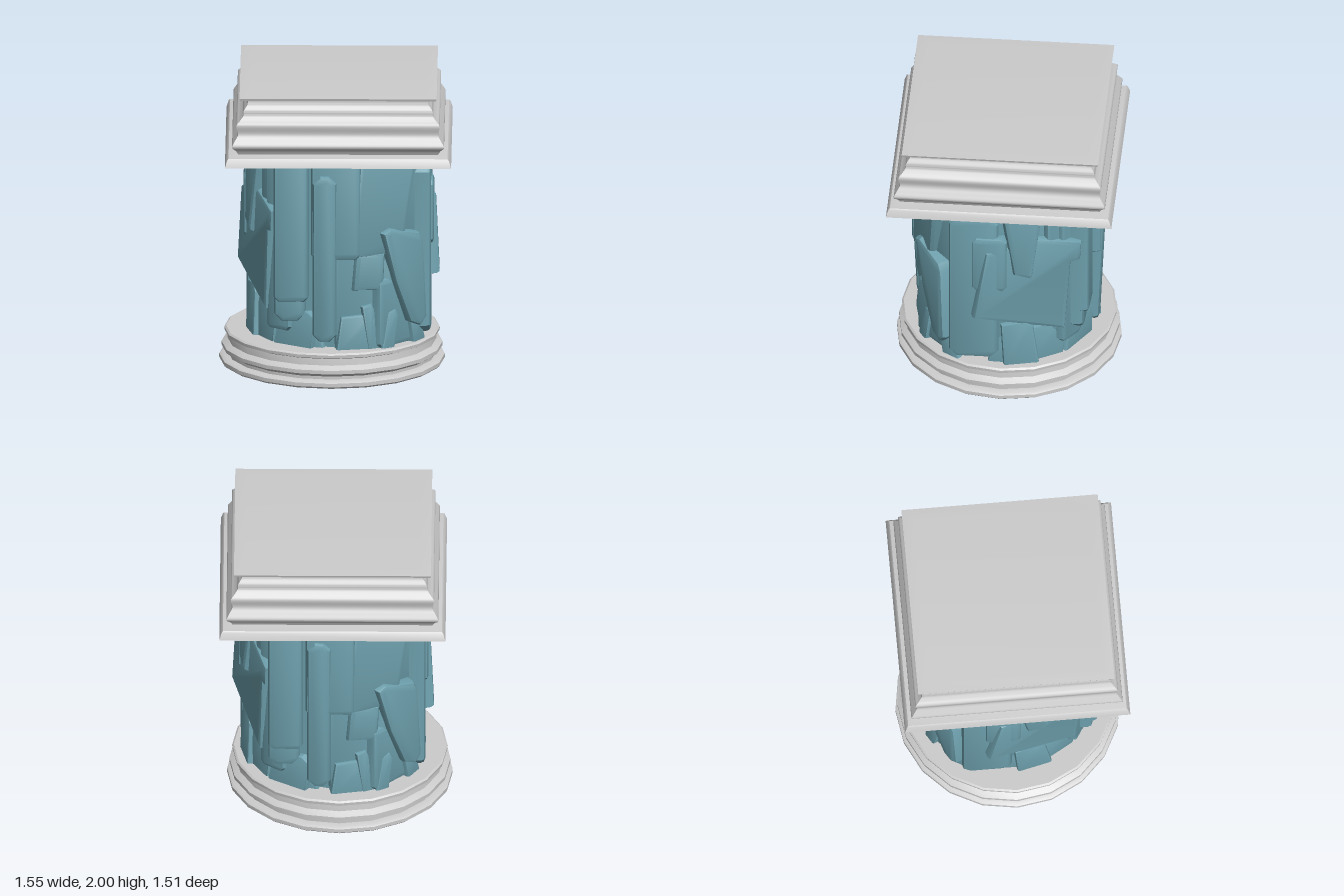
import * as THREE from 'three';
import { toCreasedNormals } from 'three/addons/utils/BufferGeometryUtils.js';

const grey = new THREE.MeshStandardMaterial({ color: 0xcccccc });
const teal = new THREE.MeshStandardMaterial({ color: 0x6c9eab });

const toVectors = (pts) => pts.map(([x, y]) => new THREE.Vector2(x, y));

// Moulding turned from a bottom-to-top profile
function turned(name, profile, sides, start, crease) {
  const geo = new THREE.LatheGeometry(profile, sides, start);
  const mesh = new THREE.Mesh(toCreasedNormals(geo, crease), grey);
  mesh.name = name;
  return mesh;
}

// Chamfered rock slab: outline in (sideways, up), front face at dist from the
// axis, turned by degrees about y, leaning by lean radians about its middle
function slab(name, outline, dist, degrees, { depth = 0.25, bevel = 0.032, lean = 0 } = {}) {
  const geo = new THREE.ExtrudeGeometry(new THREE.Shape(toVectors(outline)), {
    depth: depth - bevel, bevelEnabled: true, bevelThickness: bevel,
    bevelSize: bevel, bevelOffset: -bevel, bevelSegments: 2,
  });
  const ys = outline.map((p) => p[1]);
  const mid = (Math.min(...ys) + Math.max(...ys)) / 2;
  geo.translate(0, -mid, -depth);
  geo.rotateX(lean);
  geo.translate(0, mid, dist);
  geo.rotateY(THREE.MathUtils.degToRad(degrees));
  const mesh = new THREE.Mesh(toCreasedNormals(geo, 0.6), teal);
  mesh.name = name;
  return mesh;
}

const box = (x0, x1, y0, y1, c = 0.03) => [
  [x0 + c, y0], [x1 - c, y0], [x1, y0 + c], [x1, y1 - c],
  [x1 - c, y1], [x0 + c, y1], [x0, y1 - c], [x0, y0 + c],
];

// One half of the rock cladding: a front face, a side face and the corners
function rockHalf() {
  const half = new THREE.Group();
  const top = 1.57;
  half.add(
    // front face
    slab('leftTallSlab', box(-0.4, -0.17, 0.56, top), 0.59, -3),
    slab('leftFootSlab', box(-0.4, -0.19, 0.42, 0.75, 0.05), 0.555, -3),
    slab('narrowSlab', box(-0.17, -0.01, 0.29, 1.45, 0.05), 0.64, 0, { lean: 0.045 }),
    slab('upperSlab', box(-0.18, 0.15, 0.87, top), 0.635, 0, { depth: 0.2 }),
    slab('taperedSlab', [[-0.14, 0.88], [0.14, 0.88], [0.23, 1.0], [0.325, top], [-0.09, top]], 0.63, 22),
    slab('lowerFrontSlab', box(-0.12, 0.28, 0.24, 1.0), 0.57, 10),
    slab('squareBlock', [[-0.03, 0.65], [0.18, 0.64], [0.19, 0.9], [0.01, 0.91], [-0.01, 0.88]], 0.62, 12),
    // corner between front and side
    slab('tiltedCornerBlock', [[-0.12, 1.04], [-0.06, 1.07], [0.18, 1.01], [0.21, 0.95], [0.24, 0.42],
      [0.19, 0.36], [0.1, 0.4], [-0.02, 0.69]], 0.675, 37),
    slab('cornerUpperSlab', box(-0.16, 0.17, 0.9, top), 0.615, 52),
    slab('cornerLowerSlab', box(-0.22, 0.2, 0.24, 0.72), 0.615, 45),
    // side face
    slab('sideTallSlab', box(-0.35, -0.02, 0.29, 1.45, 0.05), 0.615, 90),
    slab('sideStepSlab', box(-0.2, 0.04, 0.86, 1.3), 0.635, 90),
    slab('sideBackingSlab', box(-0.25, 0.26, 0.42, top), 0.545, 108),
    slab('sidePlate', [[-0.295, 1.19], [0.04, 1.26], [0.365, 1.18], [0.355, 1.03], [0.29, 1.02], [0.25, 0.47],
      [0.04, 0.53], [-0.38, 0.66]], 0.595, 108, { depth: 0.16 }),
    slab('sideHangingPlate', [[-0.195, top], [0.11, top], [0.015, 0.95], [-0.11, 1.0]], 0.615, 108, { depth: 0.2, lean: -0.05 }),
    // corner behind the side
    slab('rearCornerSlab', box(-0.05, 0.2, 0.5, top), 0.6, 125),
    slab('rearCornerSliver', box(-0.14, 0.06, 0.34, top), 0.615, 142),
  );

  // Upright shards around the foot: angle, width, top, distance, slant
  const shards = [
    [-32, 0.3, 0.49, 0.58, 0.02], [-16, 0.14, 0.4, 0.56, -0.04], [11, 0.26, 0.48, 0.6, 0.01],
    [24, 0.1, 0.55, 0.61, -0.05], [31, 0.1, 0.5, 0.64, 0.04], [58, 0.14, 0.42, 0.64, -0.05],
    [88, 0.16, 0.48, 0.58, 0.06], [103, 0.24, 0.58, 0.6, -0.04], [120, 0.26, 0.52, 0.575, 0.02],
  ];
  for (const [angle, w, h, dist, slant] of shards) {
    const outline = [[-w / 2, 0.22], [w / 2, 0.22], [w / 2 + slant, h * 0.92], [w * 0.3 + slant, h], [-w * 0.4 + slant, h * 0.97]];
    half.add(slab('footShard', outline, dist, angle, { depth: 0.2, bevel: 0.015, lean: -0.06 }));
  }
  return half;
}

export function createModel() {
  const model = new THREE.Group();
  model.name = 'column';

  // Round base
  const base = turned('base', toVectors([
    [0, 0.005], [0.735, 0.012], [0.75, 0.025], [0.75, 0.05], [0.735, 0.06], [0.695, 0.065], [0.695, 0.085],
    [0.735, 0.11], [0.735, 0.135], [0.695, 0.16], [0.69, 0.205], [0.715, 0.215], [0.717, 0.235], [0.705, 0.245], [0, 0.245],
  ]), 20, 0, 0.55);
  base.position.x = -0.025;
  model.add(base);

  // Square capital: half-widths become corner radii of a four-sided lathe
  const wave = new THREE.SplineCurve(toVectors([
    [0.665, 1.612], [0.68, 1.64], [0.705, 1.67], [0.685, 1.71], [0.665, 1.75], [0.676, 1.81],
    [0.652, 1.84], [0.63, 1.87], [0.628, 1.9], [0.603, 1.94], [0.6, 1.975],
  ])).getPoints(40);
  const capitalProfile = [
    ...toVectors([[0, 1.54], [0.752, 1.54], [0.737, 1.59], [0.728, 1.6], [0.7, 1.605]]),
    ...wave,
    ...toVectors([[0.65, 1.978], [0.655, 1.993], [0.58, 2], [0, 2]]),
  ];
  for (const p of capitalProfile) p.x *= Math.SQRT2;
  const capital = turned('capital', capitalProfile, 4, Math.PI / 4, 0.6);
  capital.position.set(0.02, 0, 0.005);
  model.add(capital);

  // Rock shaft: core with the same cladding on both halves
  const shaft = new THREE.Group();
  shaft.name = 'rockShaft';
  const core = new THREE.Mesh(
    toCreasedNormals(new THREE.CylinderGeometry(0.535, 0.55, 1.34, 12), 0.4), teal);
  core.name = 'shaftCore';
  core.position.y = 0.9;
  shaft.add(core);
  for (let i = 0; i < 2; i++) {
    const half = rockHalf();
    half.name = i ? 'backCladding' : 'frontCladding';
    half.rotation.y = i * Math.PI;
    shaft.add(half);
  }
  shaft.position.x = 0.02;
  model.add(shaft);
  return model;
}
